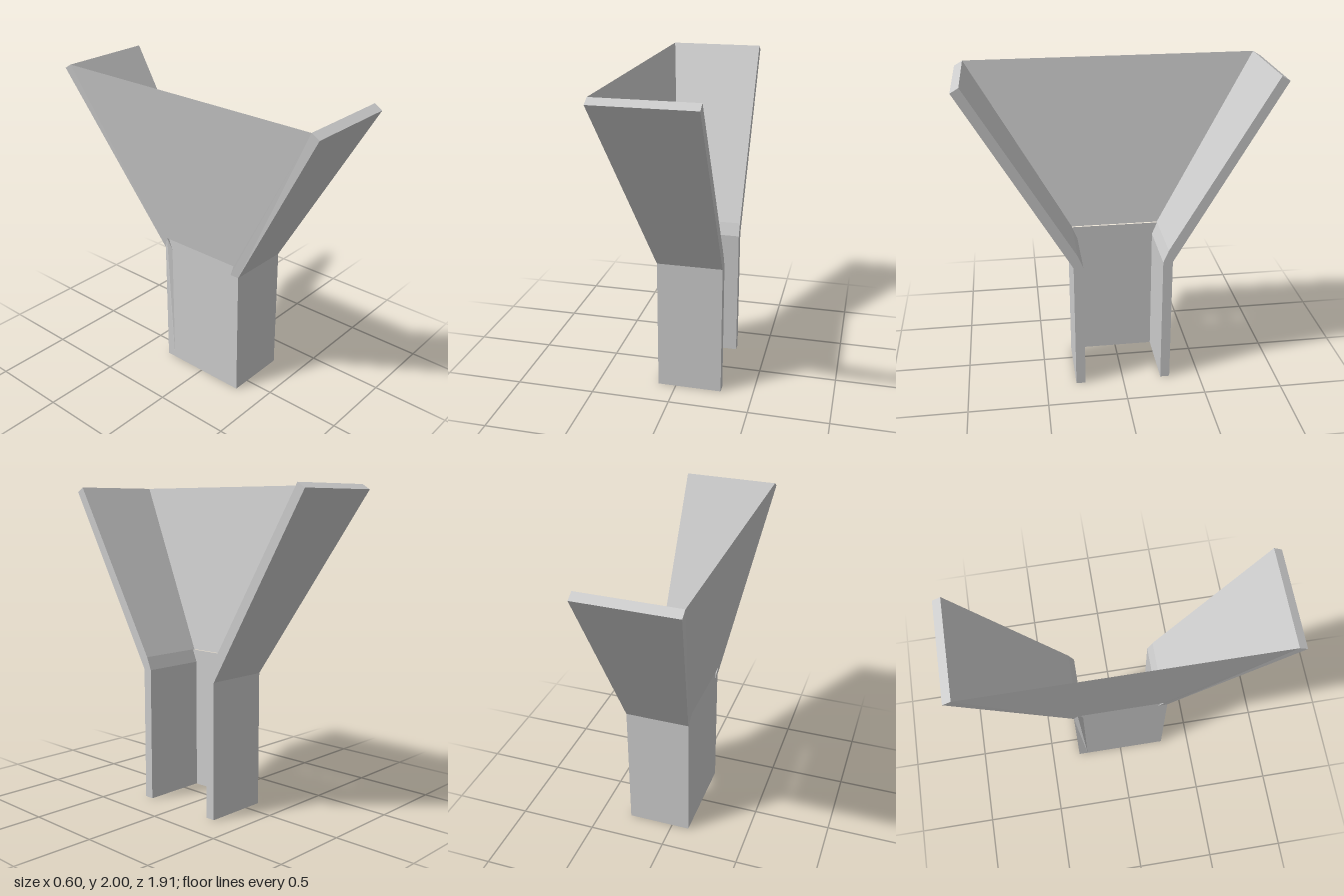
import * as THREE from 'three';

const FRONT = 0.295, BACK = -0.115, TOP_BACK = -0.3, BEND = 0.85;

// Rear edge of the chute: vertical below the bend, leaning outwards above it
const rearX = (y) => (y <= BEND ? BACK : BACK + (TOP_BACK - BACK) * Math.min(1, (y - BEND) / 1.12));

// Bent side plate cross-section as [z, y]
const plateProfile = [
  [0.247, 0], [0.307, 0], [0.307, BEND], [0.955, 1.97],
  [0.905, 2], [0.28, 0.93], [0.247, BEND],
];

function sidePlate(side, material) {
  const shape = new THREE.Shape(plateProfile.map(([z, y]) => new THREE.Vector2(-side * z, y)));
  const geo = new THREE.ExtrudeGeometry(shape, { depth: FRONT - BACK, bevelEnabled: false });
  geo.rotateY(Math.PI / 2).translate(BACK, 0, 0);
  // lean the rear edge outwards
  const pos = geo.attributes.position;
  for (let i = 0; i < pos.count; i++) {
    if (pos.getX(i) < 0) pos.setX(i, rearX(pos.getY(i)));
  }
  geo.computeVertexNormals();
  return new THREE.Mesh(geo, material);
}

// Thin sheet symmetric in z, from rows of [x, y, half width]
function sheet(rows, material) {
  const points = [], index = [];
  rows.forEach(([x, y, w], i) => {
    points.push(x, y, w, x, y, -w);
    if (i > 0) {
      const a = 2 * i - 2;
      index.push(a, a + 1, a + 3, a, a + 3, a + 2);
    }
  });
  const geo = new THREE.BufferGeometry();
  geo.setAttribute('position', new THREE.Float32BufferAttribute(points, 3));
  geo.setIndex(index);
  geo.computeVertexNormals();
  return new THREE.Mesh(geo, material);
}

export function createModel() {
  const model = new THREE.Group();
  model.name = 'flaredChute';
  const solid = new THREE.MeshStandardMaterial({ color: 0xcccccc, flatShading: true });
  const thin = new THREE.MeshStandardMaterial({ color: 0xcccccc, flatShading: true, side: THREE.DoubleSide });

  // Two mirrored side plates
  for (const side of [1, -1]) {
    const plate = sidePlate(side, solid);
    plate.name = side > 0 ? 'frontSidePlate' : 'backSidePlate';
    model.add(plate);
  }

  // Upright rear sheet between the lower plates
  const lower = sheet([[BACK, 0, 0.247], [BACK, BEND, 0.247], [BACK, 0.93, 0.28]], thin);
  lower.name = 'lowerRearSheet';
  model.add(lower);

  // Leaning rear sheet that widens between the flared plates
  const upper = sheet([[rearX(0.93), 0.93, 0.28], [TOP_BACK, 2, 0.905]], thin);
  upper.name = 'upperRearSheet';
  model.add(upper);

  return model;
}
